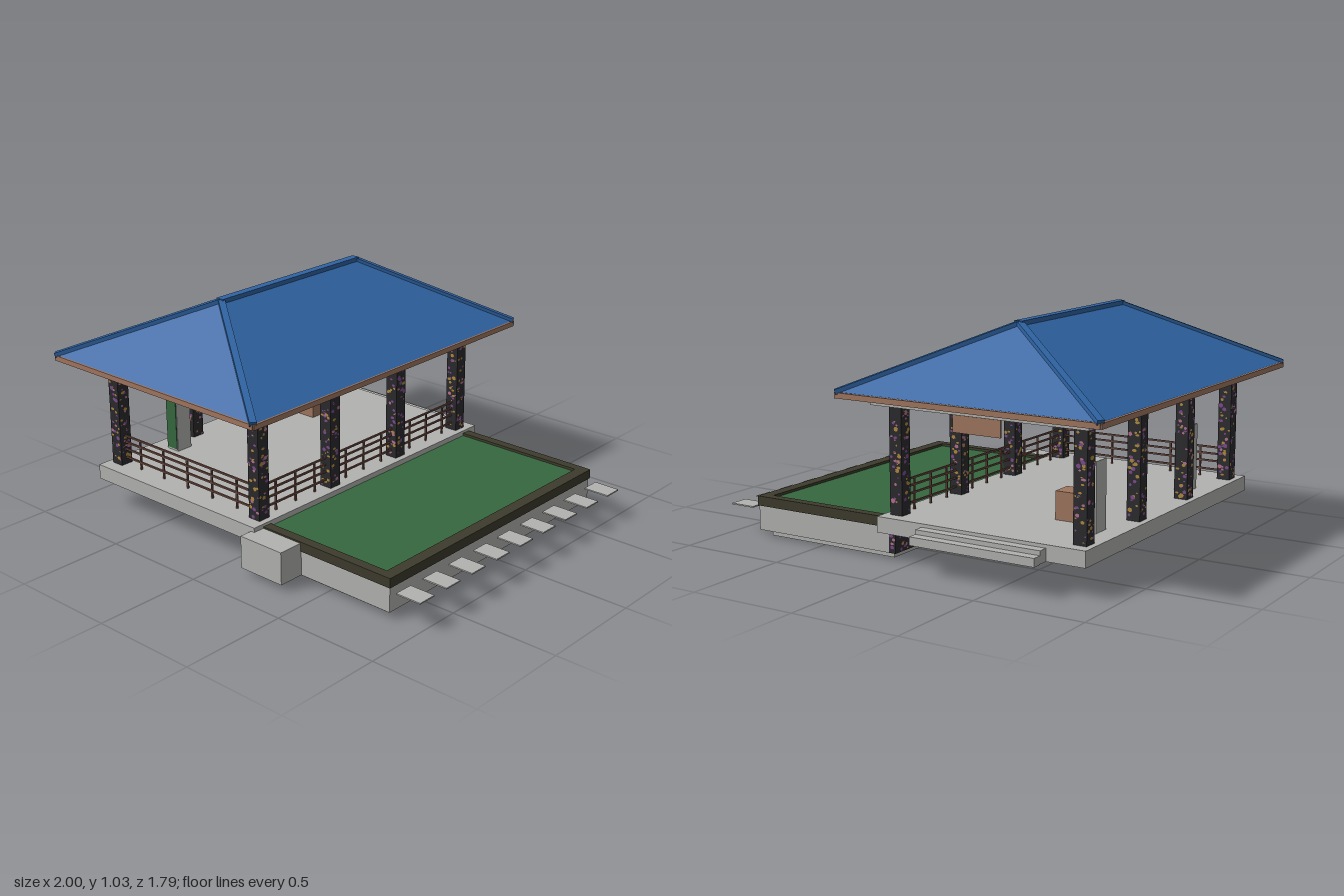
import * as THREE from 'three';
import { mergeGeometries } from 'three/addons/utils/BufferGeometryUtils.js';

const paint = (name, color, side = THREE.FrontSide) => {
  const m = new THREE.MeshStandardMaterial({ color, side });
  m.name = name;
  return m;
};

export function createModel() {
  const root = new THREE.Group();
  root.name = 'poolsidePavilion';
  const mat = {
    roof: paint('roofBlue', 0x2f64a4, THREE.DoubleSide),
    wood: paint('warmWood', 0xa0765f),
    concrete: paint('concrete', 0xb2b2b0),
    rim: paint('darkRim', 0x3d3b2c),
    green: paint('poolGreen', 0x35683f),
    rail: paint('railBrown', 0x6b4a40),
    tile: paint('tileCharcoal', 0x2a292c),
    purple: paint('tilePurple', 0x7d4a8e),
    gold: paint('tileGold', 0xb08a3c),
    pink: paint('tilePink', 0xb5708e),
  };
  const add = (name, geo, material, parent = root) => {
    const mesh = new THREE.Mesh(geo, material);
    mesh.name = name;
    parent.add(mesh);
    return mesh;
  };
  // Box given by its limits on each axis
  const boxGeo = (x0, x1, y0, y1, z0, z1) =>
    new THREE.BoxGeometry(x1 - x0, y1 - y0, z1 - z0)
      .translate((x0 + x1) / 2, (y0 + y1) / 2, (z0 + z1) / 2);
  const box = (name, material, ...lim) => add(name, boxGeo(...lim), material);
  let seed = 7;
  const rand = () => (seed = (seed * 16807) % 2147483647) / 2147483647;

  // Floor slab and back steps
  box('floorSlab', mat.concrete, -0.87, 0.14, 0.13, 0.2, -0.765, 0.77);
  box('upperStep', mat.concrete, -0.69, -0.09, 0.13, 0.185, -0.81, -0.765);
  box('lowerStep', mat.concrete, -0.69, -0.09, 0.128, 0.165, -0.855, -0.81);

  // Pool: footing, basin, water and three-sided rim
  box('poolFooting', mat.concrete, 0.12, 0.8, 0, 0.03, -0.67, 0.67);
  box('poolBasin', mat.concrete, 0.12, 0.84, 0.03, 0.145, -0.71, 0.71);
  box('poolWater', mat.green, 0.14, 0.795, 0.145, 0.175, -0.675, 0.675);
  box('poolRimOuter', mat.rim, 0.79, 0.845, 0.143, 0.187, -0.715, 0.715);
  for (const s of [-1, 1]) {
    const z = [s * 0.67, s * 0.715].sort((a, b) => a - b);
    box('poolRimEnd', mat.rim, 0.14, 0.79, 0.143, 0.187, ...z);
  }
  box('pumpBox', mat.concrete, 0.12, 0.355, 0.03, 0.18, 0.71, 0.832);

  // Stepping stones
  for (let i = -4; i <= 4; i++) {
    const z = i * 0.1675;
    box('steppingStone', mat.concrete, 0.877, 1, 0.127, 0.133, z - 0.045, z + 0.045);
  }

  // Tiled pieces: charcoal boxes with scattered chips on their four sides
  const chips = { purple: [], gold: [], pink: [] };
  const kinds = ['purple', 'gold', 'pink', 'gold', 'purple'];
  const tiledBox = (name, x0, x1, y0, y1, z0, z1) => {
    box(name, mat.tile, x0, x1, y0, y1, z0, z1);
    const w = x1 - x0, d = z1 - z0, h = y1 - y0;
    for (let side = 0; side < 4; side++) {
      const width = side % 2 ? d : w, depth = side % 2 ? w : d;
      const count = Math.round(width * h * 1100);
      for (let i = 0; i < count; i++) {
        const r = 0.004 + rand() * 0.008;
        const g = new THREE.CircleGeometry(r, 5 + Math.floor(rand() * 3));
        g.rotateZ(rand() * 6).scale(1, 0.5 + rand() * 0.5, 1);
        g.translate((rand() - 0.5) * (width - 2 * r), (rand() - 0.5) * (h - 2 * r),
          depth / 2 + 0.0008 + rand() * 0.001);
        g.rotateY(side * Math.PI / 2).translate((x0 + x1) / 2, (y0 + y1) / 2, (z0 + z1) / 2);
        chips[kinds[Math.floor(rand() * kinds.length)]].push(g);
      }
    }
  };
  for (const x of [-0.812, 0.08])
    for (const z of [-0.678, -0.226, 0.226, 0.678])
      tiledBox('column', x - 0.031, x + 0.031, 0.2, 0.68, z - 0.031, z + 0.031);
  tiledBox('poolWall', 0.086, 0.12, 0.03, 0.13, -0.71, 0.71);
  for (const k in chips) add(k + 'TileChips', mergeGeometries(chips[k]), mat[k]);

  // Railings on the front and the pool side
  const railing = new THREE.Group();
  railing.name = 'railing';
  root.add(railing);
  const t = 0.004;
  for (const y of [0.235, 0.275, 0.31, 0.341]) {
    add('frontRail', boxGeo(-0.78, 0.05, y - t, y + t, 0.678 - t, 0.678 + t), mat.rail, railing);
    add('poolSideRail', boxGeo(0.08 - t, 0.08 + t, y - t, y + t, -0.65, 0.65), mat.rail, railing);
  }
  for (const x of [-0.68, -0.525, -0.368, -0.21, -0.055])
    add('frontPost', boxGeo(x - t, x + t, 0.2, 0.341, 0.678 - t, 0.678 + t), mat.rail, railing);
  for (const bay of [-0.453, 0, 0.453])
    for (const o of [-0.123, 0, 0.123])
      add('poolSidePost', boxGeo(0.08 - t, 0.08 + t, 0.2, 0.341, bay + o - t, bay + o + t), mat.rail, railing);

  // Cabinets with green fronts, wooden chest and hanging board
  for (const z of [-0.478, 0.382]) {
    box('cabinet', mat.concrete, -0.78, -0.71, 0.2, 0.5, z - 0.042, z + 0.042);
    box('cabinetFront', mat.green, -0.777, -0.713, 0.21, 0.494, z + 0.042, z + 0.046);
  }
  box('woodenChest', mat.wood, -0.69, -0.525, 0.2, 0.325, -0.41, -0.31);
  box('hangingBoard', mat.wood, -0.48, -0.25, 0.605, 0.677, -0.768, -0.76);

  // Ceiling slab and fascia boards
  box('ceilingSlab', mat.concrete, -0.888, 0.155, 0.68, 0.715, -0.78, 0.78);
  const cx = -0.366, hx = 0.626, hz = 0.88, eave = 0.74, top = 1.022, rz = 0.44;
  for (const s of [-1, 1]) {
    const x = cx + s * hx, z = s * hz;
    box('sideFascia', mat.wood, x - 0.006, x + 0.006, 0.714, 0.738, -hz, hz);
    box('endFascia', mat.wood, cx - hx, cx + hx, 0.714, 0.738, z - 0.006, z + 0.006);
  }

  // Hipped roof from its four corners and two ridge points
  const A = [cx - hx, eave, hz], B = [cx + hx, eave, hz];
  const C = [cx + hx, eave, -hz], D = [cx - hx, eave, -hz];
  const F = [cx, top, rz], K = [cx, top, -rz];
  const faces = [A, B, F, B, C, K, B, K, F, C, D, K, D, A, F, D, F, K];
  const roofGeo = new THREE.BufferGeometry();
  roofGeo.setAttribute('position', new THREE.Float32BufferAttribute(faces.flat(), 3));
  roofGeo.computeVertexNormals();
  add('hipRoof', roofGeo, mat.roof);

  // Ridge and hip caps
  const cap = (name, from, to, width) => {
    const a = new THREE.Vector3(...from), b = new THREE.Vector3(...to);
    const m = add(name, new THREE.BoxGeometry(width, 0.022, a.distanceTo(b)), mat.roof);
    m.position.copy(a).add(b).multiplyScalar(0.5);
    m.lookAt(b);
  };
  cap('ridgeCap', [cx, top, -rz - 0.01], [cx, top, rz + 0.01], 0.04);
  for (const p of [A, B]) cap('hipCap', p, F, 0.03);
  for (const p of [C, D]) cap('hipCap', p, K, 0.03);
  return root;
}
